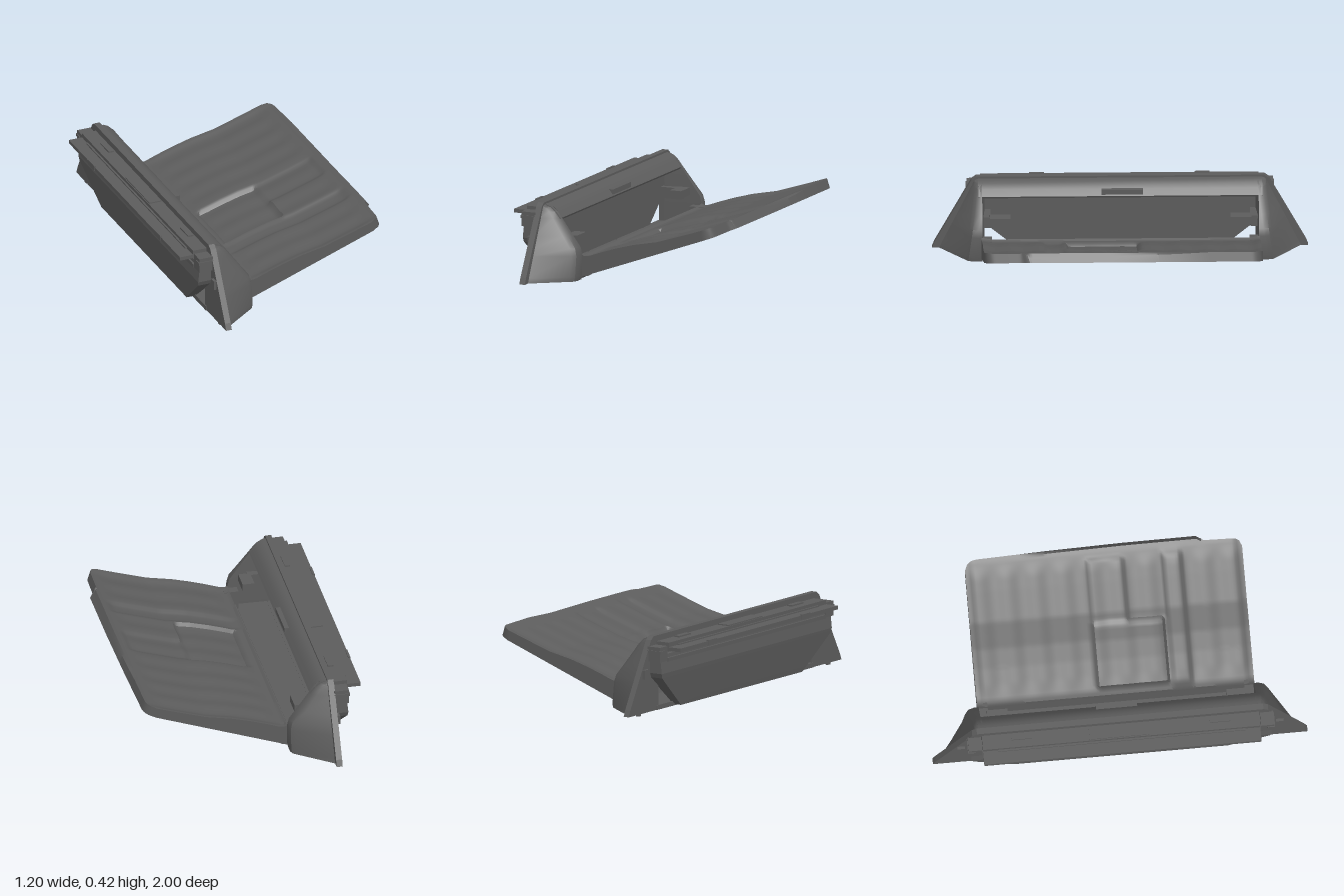
import * as THREE from 'three';
import { toCreasedNormals } from 'three/addons/utils/BufferGeometryUtils.js';

const charcoal = new THREE.MeshStandardMaterial({ color: 0x5c5c5c, side: THREE.DoubleSide });
charcoal.name = 'charcoal plastic';

const sm = THREE.MathUtils.smoothstep;
// soft box mask: 1 between a and b, fading over w
const band = (v, a, b, w) => sm(v, a - w, a + w) * (1 - sm(v, b - w, b + w));

// piecewise linear lookup in [[x, y], ...]
function lookup(pts, v) {
  for (let i = 1; i < pts.length; i++) {
    if (v <= pts[i][0]) {
      const [a, b] = [pts[i - 1], pts[i]];
      return a[1] + (b[1] - a[1]) * Math.max(0, (v - a[0]) / (b[0] - a[0]));
    }
  }
  return pts[pts.length - 1][1];
}

// closed solid through rings of equal, even point count
function loft(rings, crease = 0.5) {
  const m = rings[0].length, idx = [];
  const quad = (a, b, c, d) => idx.push(a, b, c, a, c, d);
  for (let i = 0; i < rings.length - 1; i++) {
    for (let j = 0; j < m; j++) {
      const k = (j + 1) % m;
      quad(i * m + j, i * m + k, (i + 1) * m + k, (i + 1) * m + j);
    }
  }
  const last = (rings.length - 1) * m;
  for (let j = 0; j < m / 2 - 1; j++) {
    quad(m - 1 - j, m - 2 - j, j + 1, j);
    quad(last + j, last + j + 1, last + m - 2 - j, last + m - 1 - j);
  }
  const g = new THREE.BufferGeometry();
  g.setAttribute('position', new THREE.Float32BufferAttribute(rings.flat(2), 3));
  g.setIndex(idx);
  return toCreasedNormals(g, crease);
}

const polygon = pts => new THREE.Shape(pts.map(p => new THREE.Vector2(...p)));

export function createModel() {
  const model = new THREE.Group();
  const add = (name, geometry) => {
    const mesh = new THREE.Mesh(geometry, charcoal);
    mesh.name = name;
    model.add(mesh);
    return mesh;
  };
  // box given by its ranges
  const box = (name, x0, x1, y0, y1, z0, z1) => add(name,
    new THREE.BoxGeometry(x1 - x0, y1 - y0, z1 - z0)
      .translate((x0 + x1) / 2, (y0 + y1) / 2, (z0 + z1) / 2));
  // outline in (z, y) pushed along x
  const plate = (name, shape, x0, x1) => add(name,
    new THREE.ExtrudeGeometry(shape, { depth: x1 - x0, bevelEnabled: false })
      .rotateY(Math.PI / 2).translate(x0, 0, 0));
  // outline in (x, y) pushed along z
  const bar = (name, pts, halfLength) => add(name, toCreasedNormals(
    new THREE.ExtrudeGeometry(polygon(pts), { depth: halfLength * 2, bevelEnabled: false })
      .translate(0, 0, -halfLength), 0.6));

  // trapezoid mounting flange with the compartment opening
  const flange = polygon([[-1, 0.015], [1, 0.015], [0.985, 0.05], [0.79, 0.4], [0.765, 0.418],
    [-0.765, 0.418], [-0.79, 0.4], [-0.985, 0.05]]);
  flange.holes.push(polygon([[-0.72, 0.04], [-0.72, 0.36], [0.72, 0.36], [0.72, 0.04]]));
  plate('mountingFlange', flange, -0.445, -0.412);

  // rounded hood over the opening
  bar('hood', [[-0.42, 0.408], [-0.395, 0.405], [-0.37, 0.394], [-0.345, 0.37], [-0.32, 0.338],
    [-0.325, 0.328], [-0.35, 0.35], [-0.38, 0.37], [-0.42, 0.375]], 0.755);
  box('latchStriker', -0.35, -0.322, 0.345, 0.372, -0.12, 0.1);

  // side cheeks, tapering forward to the hinge line
  const cheekFront = [[0.015, -0.205], [0.04, -0.2], [0.15, -0.2], [0.19, -0.21], [0.25, -0.255],
    [0.34, -0.32], [0.375, -0.345], [0.395, -0.37], [0.408, -0.41]];
  for (const s of [1, -1]) {
    const rings = cheekFront.map(([y, xf]) => {
      const back = 0.975 - y * 0.5, front = 0.825 - y * 0.14;
      const ring = [[-0.42, 0.72], [-0.42, back], [xf - 0.03, front + 0.005],
        [xf - 0.008, front - 0.012], [xf, front - 0.04], [xf, 0.735]];
      const pts = ring.map(([x, z]) => [x, y, z * s]);
      return s > 0 ? pts : pts.reverse();
    });
    add('sideCheek', loft(rings, 0.6));
    box('hingeArm', -0.25, -0.17, 0.035, 0.14, s * 0.71 - 0.025, s * 0.71 + 0.025);
    box('doorStop', -0.315, -0.25, 0.2, 0.24, s * 0.64 - 0.055, s * 0.64 + 0.055);
    box('doorStopPost', -0.42, -0.3, 0.17, 0.23, s * 0.71 - 0.02, s * 0.71 + 0.02);
    box('mountingFoot', -0.36, -0.34, 0, 0.015, s * 0.625 - 0.035, s * 0.625 + 0.035);
    box('locatingPeg', -0.44, -0.425, 0.003, 0.02, s * 0.89 - 0.012, s * 0.89 + 0.012);
    box('rearBracket', -0.52, -0.44, 0.29, 0.37, s * 0.78 - 0.035, s * 0.78 + 0.035);
    box('rearBracketPin', -0.525, -0.44, 0.335, 0.35, s * 0.8 - 0.02, s * 0.8 + 0.02);
    box('railClip', -0.485, -0.455, 0.385, 0.395, s * 0.53 - 0.055, s * 0.53 + 0.055);
    box('railEndStop', -0.602, -0.59, 0.34, 0.368, s * 0.44 - 0.04, s * 0.44 + 0.04);
    box('flangeTab', -0.46, -0.44, 0.2, 0.25, s * 0.85 - 0.02, s * 0.85 + 0.02);
  }

  // compartment floor with a front lip
  bar('compartmentFloor', [[-0.45, 0.015], [-0.21, 0.018], [-0.2, 0.03], [-0.2, 0.06], [-0.235, 0.06],
    [-0.245, 0.035], [-0.45, 0.04]], 0.74);

  // rear housing: hexagonal outline with a face leaning inward at the bottom
  const housing = [[0.02, 0.57, -0.487], [0.2, 0.79, -0.517], [0.225, 0.8, -0.52],
    [0.3, 0.8, -0.512], [0.325, 0.78, -0.51]];
  add('rearHousing', loft(housing.map(([y, z, x]) =>
    [[x, y, -z], [x, y, z], [-0.438, y, z], [-0.438, y, -z]]), 0.2));
  box('rearBand', -0.522, -0.44, 0.285, 0.305, -0.74, 0.74);
  for (const z of [-0.5, -0.17, 0.17, 0.5]) box('backWallRib', -0.44, -0.432, 0.04, 0.35, z - 0.006, z + 0.006);

  // upper rear beam and its rail
  box('upperBeam', -0.525, -0.44, 0.338, 0.387, -0.74, 0.74);
  box('rail', -0.6, -0.52, 0.343, 0.363, -0.74, 0.74);
  box('railRidge', -0.535, -0.52, 0.36, 0.37, -0.66, 0.66);
  box('beamCover', -0.52, -0.45, 0.385, 0.393, -0.17, 0.15);

  // open door: flat underside, sculpted inner face
  const topLine = [[-0.2, 0.15], [-0.185, 0.142], [-0.16, 0.146], [0, 0.198], [0.1, 0.226], [0.24, 0.254],
    [0.4, 0.305], [0.56, 0.358], [0.585, 0.37], [0.61, 0.335]];
  const endLine = [[-0.74, 0.565], [-0.68, 0.578], [-0.3, 0.59], [0.1, 0.598], [0.5, 0.6],
    [0.54, 0.575], [0.74, 0.57]];
  const underside = x => 0.03 + (x + 0.2) * 0.3625;
  const innerFace = (x, z) => {
    let y = lookup(topLine, x) - 0.007;
    const fade = band(x, -0.12, 0.5, 0.05);
    y += 0.007 * sm(Math.abs(z), 0.69, 0.73);                                   // raised rim
    y += 0.003 * Math.cos(z * 42) * fade;                                        // soft ripples
    y -= 0.024 * band(z, -0.09, 0.29, 0.012) * band(x, -0.14, 0.19, 0.012);      // deep pocket
    y -= 0.01 * band(z, -0.09, 0.1, 0.012) * band(x, 0.19, 0.52, 0.012);         // shallow tray
    y -= 0.012 * band(z, 0.31, 0.41, 0.012) * band(x, -0.16, 0.53, 0.03);        // channel
    return Math.max(y, underside(x) + 0.012);
  };
  const nx = 56, nz = 110, half = 0.74, corner = 0.05, doorRings = [];
  for (let k = 0; k <= nz; k++) {
    const z = -half + 2 * half * k / nz;
    const d = Math.max(0, Math.abs(z) - (half - corner));
    const end = lookup(endLine, z) - corner + Math.sqrt(Math.max(0, corner * corner - d * d));
    const xs = Array.from({ length: nx + 1 }, (_, i) => -0.2 + (end + 0.2) * i / nx);
    const lower = xs.map(x => [x, underside(x), z]);
    const upper = xs.map(x => [x - 0.018 * sm(x, 0.45, 0.6), innerFace(x, z), z]);
    doorRings.push([...lower, ...upper.reverse()]);
  }
  add('door', loft(doorRings, 0.6));

  return model;
}
